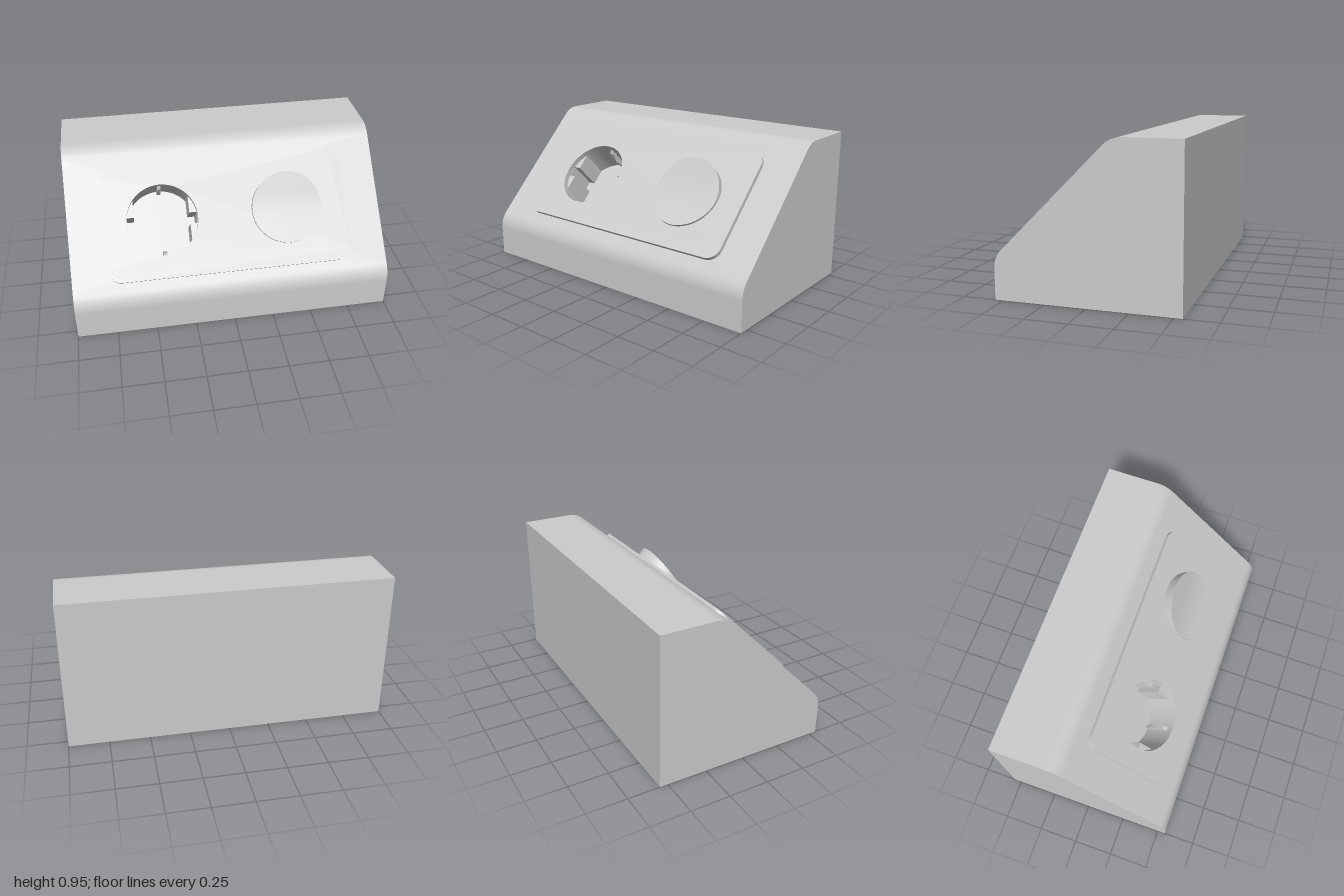
import * as THREE from 'three';
import { toCreasedNormals } from 'three/addons/utils/BufferGeometryUtils.js';

const R = 0.225;            // radius of socket opening and rocker
const SOCKET_X = -0.41, ROCKER_X = 0.385;
const PLATE = 0.025;        // plate thickness above the sloping face
const FLOOR = -0.21;        // socket floor below the sloping face

const grey = new THREE.MeshStandardMaterial({ color: 0xcccccc });
const greyDouble = new THREE.MeshStandardMaterial({ color: 0xcccccc, side: THREE.DoubleSide });

function add(parent, name, geometry, material = grey) {
  const mesh = new THREE.Mesh(geometry, material);
  mesh.name = name;
  parent.add(mesh);
  return mesh;
}

function extrude(shape, depth, z = 0) {
  const g = new THREE.ExtrudeGeometry(shape, { depth, bevelEnabled: false, curveSegments: 32 });
  return toCreasedNormals(g.translate(0, 0, z), 0.5);
}

function circlePath(x, r) {
  return new THREE.Path().absarc(x, 0, r, 0, Math.PI * 2, true);
}

// Wedge housing: side profile drawn as (z, y), extruded along x, sloping face left open
function housingGeometry() {
  const r = 0.15, t = r * Math.tan(Math.PI / 8);
  const s = new THREE.Shape();
  s.moveTo(-0.55, 0);
  s.lineTo(0.55, 0);
  s.lineTo(0.55, 0.25 - t);
  s.absarc(0.55 - r, 0.25 - t, r, 0, Math.PI / 4, false);
  s.absarc(-0.15 - t, 0.95 - r, r, Math.PI / 4, Math.PI / 2, false);
  s.lineTo(-0.55, 0.95);
  const g = new THREE.ExtrudeGeometry(s, { depth: 2, bevelEnabled: false, curveSegments: 12 });
  g.rotateY(-Math.PI / 2).translate(1, 0, 0);
  const p = g.attributes.position, kept = [];
  const onSlope = (i) => Math.abs(p.getY(i) + p.getZ(i) - 0.8) < 1e-4;
  for (let i = 0; i < p.count; i += 3) {
    if (onSlope(i) && onSlope(i + 1) && onSlope(i + 2)) continue;
    for (let k = i; k < i + 3; k++) kept.push(p.getX(k), p.getY(k), p.getZ(k));
  }
  const open = new THREE.BufferGeometry();
  open.setAttribute('position', new THREE.Float32BufferAttribute(kept, 3));
  return toCreasedNormals(open, 0.4);
}

function roundedRect(w, h, r) {
  const s = new THREE.Shape(), x = w / 2 - r, y = h / 2 - r, q = Math.PI / 2;
  s.absarc(x, y, r, 0, q, false);
  s.absarc(-x, y, r, q, 2 * q, false);
  s.absarc(-x, -y, r, 2 * q, 3 * q, false);
  s.absarc(x, -y, r, 3 * q, 4 * q, false);
  return s;
}

// Socket wall: round outside, inside with flattened sides and a guide notch in each
function socketWallGeometry() {
  const flat = 0.175, notch = 0.035, deep = 0.222;
  const a = Math.acos(flat / R);
  const hole = new THREE.Path();
  hole.absarc(0, 0, R, a, Math.PI - a, false);
  for (const side of [-1, 1]) {
    hole.lineTo(side * flat, -side * notch);
    hole.lineTo(side * flat, -side * notch);
    hole.curves.splice(-2);
    hole.currentPoint.set(side * flat, -side * R * Math.sin(a));
    const start = side < 0 ? 1 : -1;
    hole.currentPoint.set(side * flat, start * R * Math.sin(a));
    hole.lineTo(side * flat, start * notch);
    hole.lineTo(side * deep, start * notch);
    hole.lineTo(side * deep, -start * notch);
    hole.lineTo(side * flat, -start * notch);
    if (side < 0) hole.absarc(0, 0, R, Math.PI + a, 2 * Math.PI - a, false);
    else hole.lineTo(flat, R * Math.sin(a));
  }
  const ring = new THREE.Shape().absarc(0, 0, R + 0.015, 0, Math.PI * 2, false);
  ring.holes.push(hole);
  return extrude(ring, -0.01 - FLOOR, FLOOR);
}

// Rocker height above the plate: flat lower half easing into a raised upper half
function rockerHeight(y) {
  const b = 0.1;
  const ramp = y < -b ? 0 : y > b ? y : (y + b) ** 2 / (4 * b);
  return 0.014 + 0.265 * ramp;
}

function addRocker(parent) {
  const rocker = new THREE.Group();
  rocker.name = 'rockerSwitch';
  rocker.position.set(ROCKER_X, 0, PLATE);
  parent.add(rocker);

  const top = new THREE.RingGeometry(0, R, 72, 18);
  const tp = top.attributes.position;
  for (let i = 0; i < tp.count; i++) tp.setZ(i, rockerHeight(tp.getY(i)));
  top.computeVertexNormals();
  add(rocker, 'rockerFace', top);

  const rim = new THREE.CylinderGeometry(R, R, 1, 72, 1, true).rotateX(Math.PI / 2);
  const rp = rim.attributes.position;
  for (let i = 0; i < rp.count; i++) rp.setZ(i, rp.getZ(i) > 0 ? rockerHeight(rp.getY(i)) : 0);
  add(rocker, 'rockerRim', rim);
}

function addSocket(parent) {
  const socket = new THREE.Group();
  socket.name = 'socket';
  socket.position.x = SOCKET_X;
  parent.add(socket);
  add(socket, 'socketWall', socketWallGeometry());
  add(socket, 'socketFloor', new THREE.CircleGeometry(R + 0.01, 64).translate(0, 0, FLOOR + 0.001));

  // Earth clips: bent strips at the top and bottom of the wall, profile as (z, y)
  const profile = [[-0.2, 0.228], [-0.2, 0.205], [-0.11, 0.185], [-0.04, 0.205], [-0.02, 0.228]];
  const clip = new THREE.Shape(profile.map(([z, y]) => new THREE.Vector2(z, y)));
  for (const turn of [0, Math.PI]) {
    const g = extrude(clip, 0.024, -0.012).rotateY(-Math.PI / 2);
    add(socket, 'earthClip', g).rotation.z = turn;
  }
}

export function createModel() {
  const model = new THREE.Group();
  model.name = 'deskSocketUnit';
  add(model, 'housing', housingGeometry(), greyDouble);

  // Sloping panel frame: y runs up the slope, z points out of it
  const panel = new THREE.Group();
  panel.name = 'slopingPanel';
  panel.position.set(0, 0.59, 0.21);
  panel.rotation.x = -Math.PI / 4;
  model.add(panel);

  // Sloping face of the housing, cut out for the socket
  const face = new THREE.Shape([[-1, -0.4188], [1, -0.4188], [1, 0.447], [-1, 0.447]]
    .map(([x, y]) => new THREE.Vector2(x, y)));
  face.holes.push(circlePath(SOCKET_X, R));
  add(panel, 'housingSlope', new THREE.ShapeGeometry(face, 32), greyDouble);

  // Cover plate with the socket opening
  const plate = roundedRect(1.545, 0.733, 0.08);
  plate.holes.push(circlePath(SOCKET_X, R));
  add(panel, 'coverPlate', extrude(plate, PLATE + 0.01, -0.01));

  addSocket(panel);
  addRocker(panel);
  return model;
}
